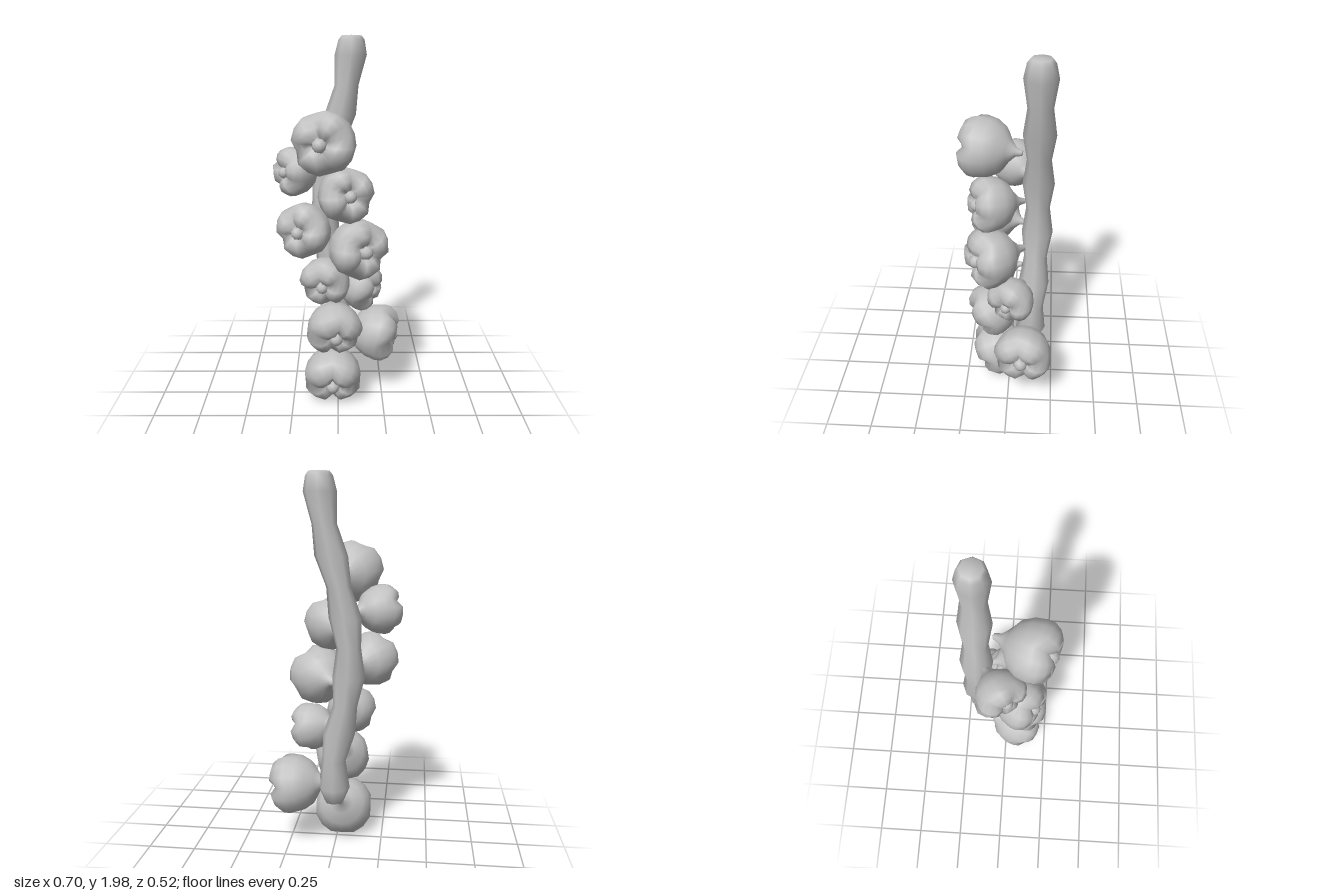
import * as THREE from 'three';
import { mergeVertices } from 'three/addons/utils/BufferGeometryUtils.js';

const grey = new THREE.MeshStandardMaterial({ color: 0xc0c0c0 });
grey.name = 'pale grey';

// Lathe a profile, move its vertices by a rule, and smooth it without a seam
function shapedLathe(profile, sides, rule) {
  let geo = new THREE.LatheGeometry(profile.map(([r, y]) => new THREE.Vector2(r, y)), sides);
  geo.deleteAttribute('uv');
  geo.deleteAttribute('normal');
  geo = mergeVertices(geo, 1e-4);
  const pos = geo.attributes.position;
  const v = new THREE.Vector3();
  for (let i = 0; i < pos.count; i++) {
    rule(v.fromBufferAttribute(pos, i));
    pos.setXYZ(i, v.x, v.y, v.z);
  }
  geo.computeVertexNormals();
  return geo;
}

// Knobbly braided stalk, gently bowed
function makeStalk() {
  const profile = [[0, 0.27], [0.05, 0.275]];
  for (let i = 0; i <= 10; i++) profile.push([i % 2 ? 0.063 : 0.084, 0.36 + i * 0.154]);
  profile.push([0.068, 1.975], [0.052, 1.997], [0, 2]);
  const geo = shapedLathe(profile, 8, (v) => {
    const h = Math.max(v.y, 0.55);
    v.x += -0.005 - 0.075 * Math.cos((h - 1.05) * Math.PI / 0.95);
    v.z += -0.145 + 0.04 * Math.max(0, 1 - v.y);
  });
  const mesh = new THREE.Mesh(geo, grey);
  mesh.name = 'stalk';
  return mesh;
}

// Unit bulb along +y: pointed neck below, four cloves around a dimpled base on top
const bulbProfile = [
  [0, -1.36], [0.09, -1.33], [0.15, -1.12], [0.38, -0.9], [0.72, -0.68], [0.92, -0.35],
  [1, 0.02], [0.98, 0.25], [0.83, 0.47], [0.58, 0.6], [0.35, 0.56], [0.15, 0.4], [0, 0.32],
];
const bulbGeo = shapedLathe(bulbProfile, 16, (v) => {
  const groove = Math.max(0, Math.cos(4 * Math.atan2(v.x, v.z)));
  const w = THREE.MathUtils.smoothstep(v.y, -0.6, 0.5);
  const shrink = 1 - 0.1 * groove * w;
  const rim = Math.min(1, Math.hypot(v.x, v.z) / 0.35);
  v.x *= shrink;
  v.z *= shrink;
  v.y -= 0.2 * groove * w * w * rim;
});
const rootGeo = mergeVertices(new THREE.SphereGeometry(0.24, 8, 6));

function makeBulb(center, radius, axis) {
  const bulb = new THREE.Group();
  bulb.name = 'bulb';
  const body = new THREE.Mesh(bulbGeo, grey);
  body.name = 'cloves';
  const root = new THREE.Mesh(rootGeo, grey);
  root.name = 'rootNub';
  root.position.y = 0.42;
  bulb.add(body, root);
  bulb.position.set(...center);
  bulb.scale.setScalar(radius);
  bulb.quaternion.setFromUnitVectors(
    new THREE.Vector3(0, 1, 0), new THREE.Vector3(...axis).normalize());
  return bulb;
}

export function createModel() {
  const model = new THREE.Group();
  model.name = 'bulbBraid';
  model.add(makeStalk());
  // Centre, radius and outward direction of each bulb, top to bottom
  const bulbs = [
    [[-0.07, 1.485, 0.15], 0.165, [-0.3, 0, 0.95]],
    [[-0.235, 1.31, -0.01], 0.13, [-0.8, 0, 0.55]],
    [[0.04, 1.21, 0.11], 0.148, [0.35, 0.08, 0.93]],
    [[-0.18, 1.02, 0.1], 0.148, [-0.45, 0, 0.9]],
    [[0.11, 0.92, 0.11], 0.163, [0.5, 0, 0.86]],
    [[-0.07, 0.735, 0.1], 0.135, [-0.25, -0.3, 0.92]],
    [[0.14, 0.66, -0.01], 0.13, [0.85, -0.25, 0.4]],
    [[-0.02, 0.46, 0.11], 0.153, [0.15, -0.5, 0.85]],
    [[0.235, 0.355, -0.085], 0.163, [0.95, -0.15, 0.15]],
    [[-0.03, 0.165, 0.08], 0.165, [0, -0.5, 0.86]],
  ];
  for (const b of bulbs) model.add(makeBulb(...b));
  return model;
}
